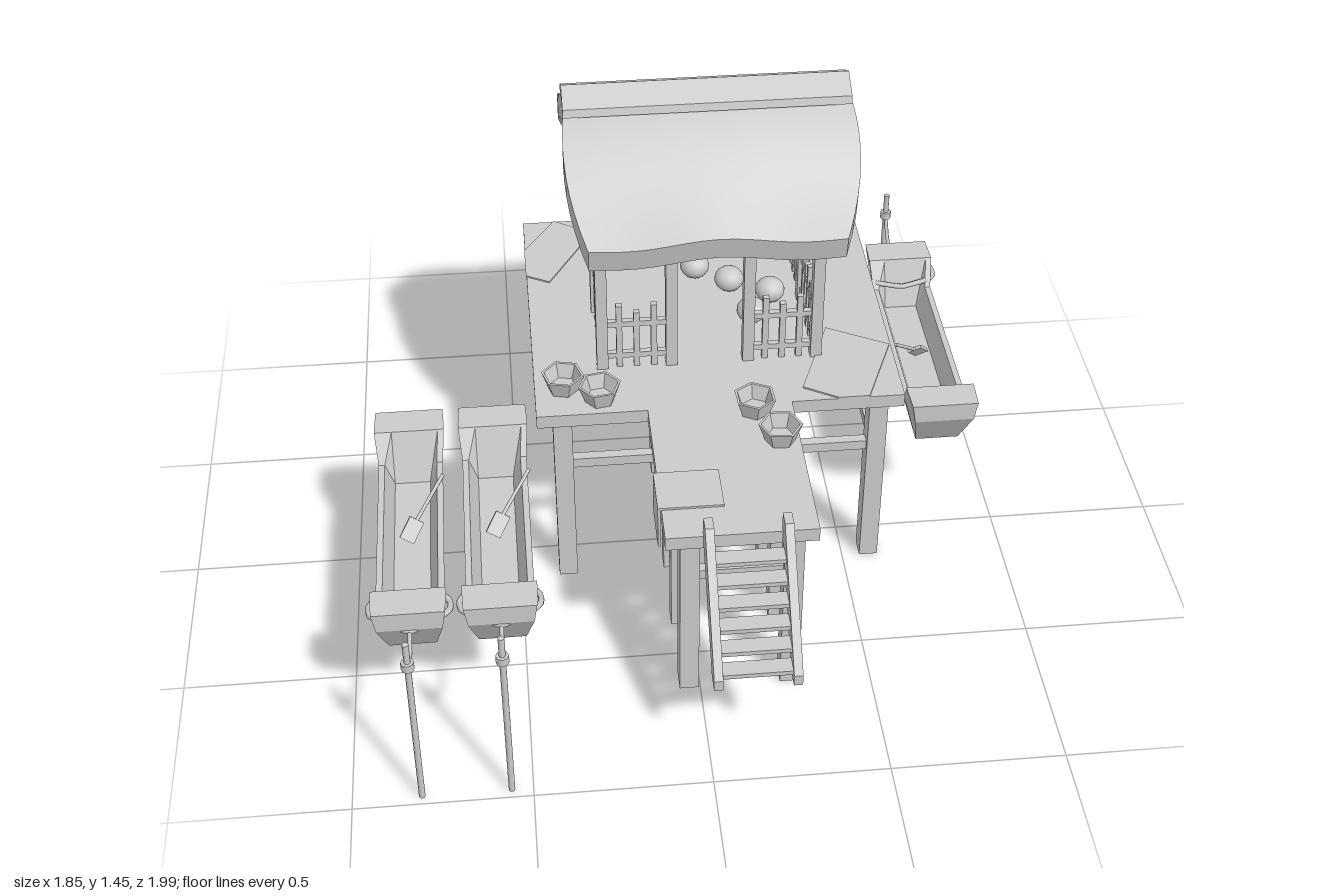
import * as THREE from 'three';
import { toCreasedNormals } from 'three/addons/utils/BufferGeometryUtils.js';

const mat = new THREE.MeshStandardMaterial({ color: 0xcccccc, flatShading: true });
const smooth = new THREE.MeshStandardMaterial({ color: 0xcccccc });
const thin = new THREE.MeshStandardMaterial({ color: 0xcccccc, side: THREE.DoubleSide });
const V = (x, y, z) => new THREE.Vector3(x, y, z);

function add(parent, name, geo, material = mat, x = 0, y = 0, z = 0) {
  const m = new THREE.Mesh(geo, material);
  m.name = name;
  m.position.set(x, y, z);
  parent.add(m);
  return m;
}

// Box given by its low and high limits on each axis
function box(parent, name, x0, x1, y0, y1, z0, z1) {
  return add(parent, name, new THREE.BoxGeometry(x1 - x0, y1 - y0, z1 - z0), mat,
    (x0 + x1) / 2, (y0 + y1) / 2, (z0 + z1) / 2);
}

// Square or round bar between two points
function bar(parent, name, a, b, t, round = false) {
  const len = a.distanceTo(b);
  const geo = round ? new THREE.CylinderGeometry(t / 2, t / 2, len, 8) : new THREE.BoxGeometry(t, len, t);
  const m = add(parent, name, geo, round ? smooth : mat);
  m.position.copy(a).add(b).multiplyScalar(0.5);
  m.quaternion.setFromUnitVectors(V(0, 1, 0), b.clone().sub(a).normalize());
  return m;
}

// Skin over closed rings, each made of an outer run followed by the inner run back
function loft(rings, crease) {
  const n = rings[0].length, idx = [];
  const quad = (a, b, c, d) => idx.push(a, b, c, a, c, d);
  for (let j = 0; j < rings.length - 1; j++) for (let i = 0; i < n; i++) {
    const k = (i + 1) % n;
    quad(j * n + i, j * n + k, (j + 1) * n + k, (j + 1) * n + i);
  }
  const e = (rings.length - 1) * n;
  for (let i = 0; i < n / 2 - 1; i++) {
    quad(e + i, e + i + 1, e + n - 2 - i, e + n - 1 - i);
    quad(n - 1 - i, n - 2 - i, i + 1, i);
  }
  const g = new THREE.BufferGeometry().setFromPoints(rings.flat());
  g.setIndex(idx);
  return toCreasedNormals(g, crease);
}

function createPlatform() {
  const g = new THREE.Group();
  g.name = 'platform';
  box(g, 'mainDeck', -0.43, 0.655, 0.6, 0.643, -0.86, 0.14);
  box(g, 'pierDeck', -0.105, 0.32, 0.6, 0.643, 0.14, 0.69);
  // Stilts
  const cols = [-0.355, -0.032, 0.262, 0.582], inner = cols.slice(1, 3);
  const rows = [[-0.79, cols], [-0.348, inner], [0.1, cols], [0.348, inner], [0.61, inner]];
  for (const [z, xs] of rows) {
    for (const x of xs) box(g, 'stilt', x - 0.028, x + 0.028, 0, 0.6, z - 0.031, z + 0.031);
    box(g, 'crossBeam', xs[0], xs[xs.length - 1], 0.42, 0.452, z - 0.015, z + 0.015);
  }
  for (const x of cols) {
    box(g, 'longBeam', x - 0.015, x + 0.015, 0.42, 0.452, -0.79, inner.includes(x) ? 0.61 : 0.1);
  }
  // Steps
  const side = new THREE.Shape([[0.975, 0.34], [0.975, 0.375], [0.72, 0.697], [0.675, 0.697], [0.675, 0.625], [0.92, 0.34]]
    .map(([z, y]) => new THREE.Vector2(-z, y)));
  for (const x of [0, 0.217]) {
    const s = add(g, 'stairSide', new THREE.ExtrudeGeometry(side, { depth: 0.025, bevelEnabled: false }), mat, x);
    s.rotation.y = Math.PI / 2;
  }
  for (let i = 0; i < 6; i++) {
    const y = 0.375 + i * 0.046, z = 0.937 - i * 0.0385;
    box(g, 'stairTread', 0.02, 0.22, y - 0.007, y + 0.007, z - 0.025, z + 0.025);
  }
  // Mats lying on the deck, one draped over the pier edge
  const mats = [
    [[-0.33, -0.858], [-0.21, -0.78], [-0.36, -0.52], [-0.432, -0.56], [-0.432, -0.7]],
    [[0.47, -0.2], [0.65, -0.1], [0.55, 0.14], [0.46, 0.14], [0.36, 0.08]],
  ];
  for (const pts of mats) {
    const s = new THREE.Shape(pts.map(([x, z]) => new THREE.Vector2(x, -z)));
    add(g, 'mat', new THREE.ExtrudeGeometry(s, { depth: 0.006, bevelEnabled: false }), mat, 0, 0.642).rotation.x = -Math.PI / 2;
  }
  box(g, 'drapedMatTop', -0.115, 0.07, 0.642, 0.65, 0.425, 0.575);
  box(g, 'drapedMatSide', -0.115, -0.107, 0.508, 0.65, 0.425, 0.575);
  return g;
}

function createHut() {
  const g = new THREE.Group();
  g.name = 'hut';
  const xs = [-0.222, -0.015, 0.215, 0.42], zs = [-0.083, -0.66], mid = -0.37;
  const post = (x, z, top) => box(g, 'post', x - 0.017, x + 0.017, 0.64, top, z - 0.018, z + 0.018);
  for (const z of zs) {
    for (const x of xs) post(x, z, 1.09);
    box(g, 'wallPlate', -0.24, 0.44, 1.06, 1.09, z - 0.015, z + 0.015);
  }
  for (const x of [xs[0], xs[3]]) {
    post(x, mid, 1.3);
    for (const z of [-0.02, -0.725]) bar(g, 'rafter', V(x, 1.075, z), V(x, 1.3, mid), 0.034);
  }
  box(g, 'ridgeBeam', -0.27, 0.49, 1.27, 1.31, mid - 0.018, mid + 0.018);

  // Picket fences with gaps for the front and back doorways
  function fence(x0, z0, x1, z1, count) {
    const a = V(x0, 0, z0), b = V(x1, 0, z1);
    for (const y of [0.685, 0.8]) bar(g, 'fenceRail', a.clone().setY(y), b.clone().setY(y), 0.018);
    for (let i = 1; i <= count; i++) {
      const p = a.clone().lerp(b, i / (count + 1)), t = 0.009;
      box(g, 'picket', p.x - t, p.x + t, 0.64, i % 2 ? 0.865 : 0.84, p.z - t, p.z + t);
    }
  }
  for (const z of zs) {
    fence(xs[0], z, xs[1], z, 3);
    fence(xs[2], z, xs[3], z, 3);
  }
  for (const x of [xs[0], xs[3]]) {
    fence(x, zs[0], x, mid, 5);
    fence(x, mid, x, zs[1], 5);
  }

  // Thick curved thatch, narrowing at the eaves
  const N = 20, rings = [];
  for (let j = 0; j <= 16; j++) {
    const u = j / 8 - 1, outer = [], inner = [];
    for (let i = 0; i <= N; i++) {
      const t = (i / N) * 2 - 1, a = Math.abs(t);
      const half = 0.412 + 0.05 * a - 0.09 * a * a * a;
      const x = 0.115 + half * u;
      const wave = 0.01 * Math.sin(x * 13) * a ** 4;
      const y = 1.4 - 0.275 * a ** 1.75 - 0.012 * u * u + wave;
      outer.push(V(x, y, mid + 0.367 * t));
      inner.unshift(V(x, y - 0.075, mid + 0.35 * t));
    }
    rings.push([...outer, ...inner]);
  }
  add(g, 'thatchRoof', loft(rings, 0.7), smooth);

  // Folded ridge cap
  const cap = new THREE.Shape([[-0.082, 1.385], [-0.075, 1.408], [0, 1.447], [0.075, 1.408], [0.082, 1.385], [0, 1.405]]
    .map(([x, y]) => new THREE.Vector2(x, y)));
  const c = add(g, 'ridgeCap', new THREE.ExtrudeGeometry(cap, { depth: 0.835, bevelEnabled: false }), mat, -0.305, 0, mid);
  c.rotation.y = Math.PI / 2;
  return g;
}

function createBoat(x, z, turn) {
  const g = new THREE.Group();
  g.name = 'boat';
  g.position.set(x, 0, z);
  g.rotation.y = turn;
  // Stations: z, rim height, floor height, keel height, half rim, half keel
  const half = [[0.28, 0.445, 0.37, 0.335, 0.095, 0.066], [0.335, 0.525, 0.525, 0.335, 0.103, 0.066],
    [0.355, 0.525, 0.525, 0.335, 0.103, 0.066], [0.43, 0.525, 0.525, 0.465, 0.1, 0.09]];
  const stations = [...half.map(([a, ...r]) => [-a, ...r]).reverse(), ...half];
  const rings = stations.map(([s, top, floor, keel, w, b]) => [
    V(-w, top, s), V(-b, keel, s), V(b, keel, s), V(w, top, s),
    V(w - 0.018, top, s), V(b - 0.014, floor, s), V(0.014 - b, floor, s), V(0.018 - w, top, s)]);
  add(g, 'hull', loft(rings, 0.1));
  // Rope round the bow, mooring line and pole
  const tube = (name, pts, r, closed) => add(g, name,
    new THREE.TubeGeometry(new THREE.CatmullRomCurve3(pts, closed, 'catmullrom', 0.2), 32, r, 6, closed), smooth);
  tube('bowRope', [V(-0.112, 0.46, 0.33), V(-0.105, 0.465, 0.37), V(0, 0.455, 0.425), V(0.105, 0.465, 0.37),
    V(0.112, 0.46, 0.33), V(0.09, 0.462, 0.3), V(0, 0.45, 0.285), V(-0.09, 0.462, 0.3)], 0.009, true);
  tube('mooringLine', [V(0, 0.455, 0.42), V(0, 0.435, 0.49), V(0, 0.46, 0.56), V(0, 0.515, 0.61)], 0.006, false);
  bar(g, 'mooringPole', V(0, 0, 0.612), V(0, 0.595, 0.612), 0.018, true);
  bar(g, 'poleKnot', V(0, 0.505, 0.612), V(0, 0.53, 0.612), 0.036, true);
  // Paddle
  const s = 1;
  bar(g, 'paddleHandle', V(0.015 * s, 0.435, -0.035), V(0.1 * s, 0.53, -0.125), 0.011, true);
  const blade = bar(g, 'paddleBlade', V(-0.015, 0.395, 0), V(0.018, 0.44, -0.038), 0.045);
  blade.scale.z = 0.25;
  return g;
}

function createGoods() {
  const g = new THREE.Group();
  g.name = 'goods';
  // Open six-sided baskets
  const profile = [[0.001, 0], [0.045, 0], [0.064, 0.056], [0.056, 0.056], [0.04, 0.012], [0.001, 0.012]]
    .map(([r, y]) => new THREE.Vector2(r, y));
  const basketGeo = toCreasedNormals(new THREE.LatheGeometry(profile, 6), 0.1);
  [[-0.345, 0.015], [-0.24, 0.075], [0.205, 0.17], [0.262, 0.305], [0.42, -0.79], [0.56, -0.787], [0.53, -0.63, 1]]
    .forEach(([x, z, skip], i) => {
      if (!skip) add(g, 'basket', basketGeo, thin, x, 0.643, z).rotation.y = i * 0.4 + 0.3;
    });
  // Round gourds in and beside the hut
  const ball = new THREE.SphereGeometry(0.046, 16, 12);
  for (const [x, z] of [[0.5, -0.63], [0.2, -0.44], [0.32, -0.37], [0.25, -0.27], [0.1, -0.52]]) {
    add(g, 'gourd', ball, smooth, x, 0.68, z).scale.y = 0.85;
  }
  return g;
}

export function createModel() {
  const model = new THREE.Group();
  model.name = 'stiltHutWithBoats';
  model.add(createPlatform(), createHut(), createGoods(),
    createBoat(-0.808, 0.36, 0), createBoat(-0.56, 0.36, 0), createBoat(0.803, -0.37, Math.PI));
  return model;
}
